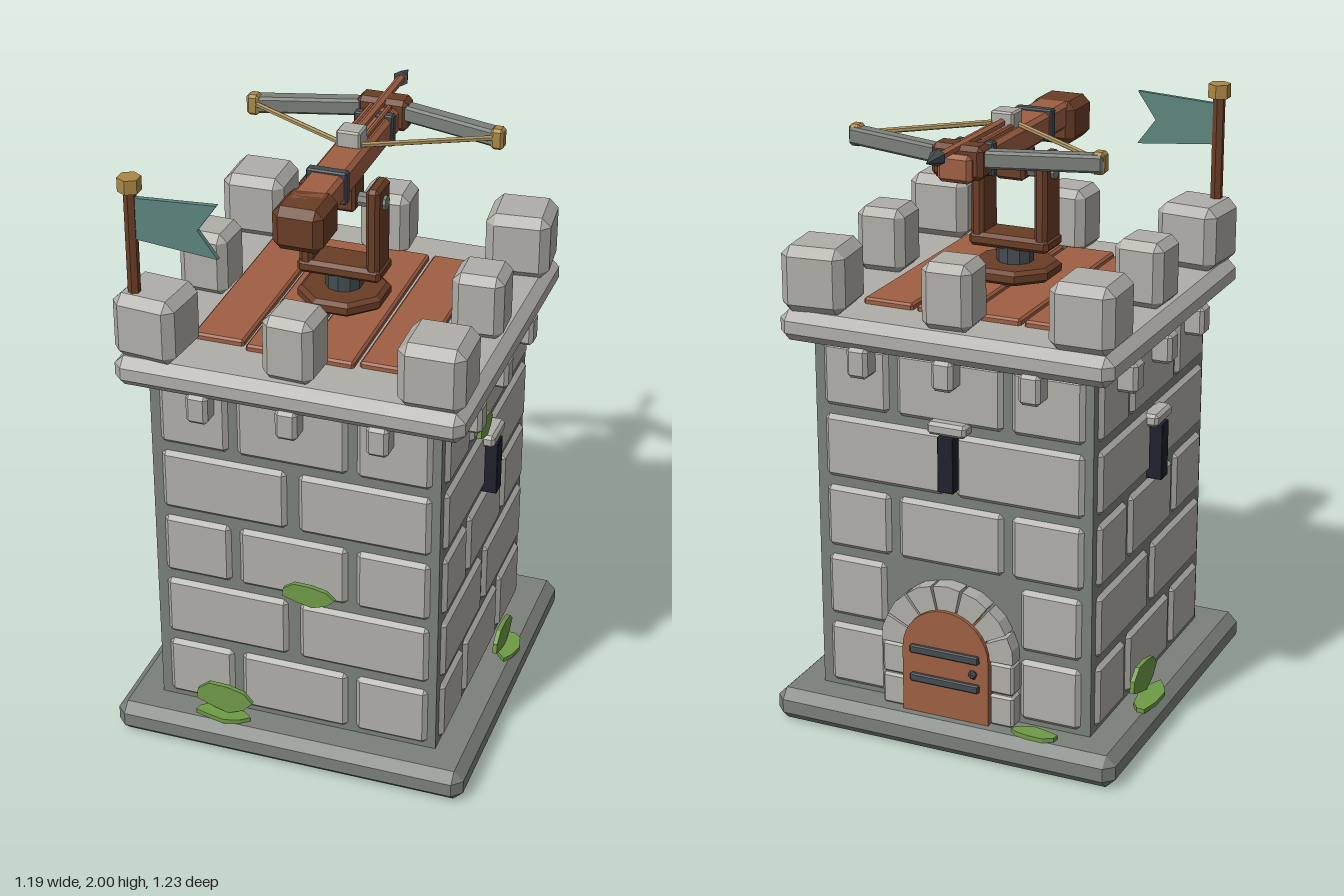
import * as THREE from 'three';
import { ConvexGeometry } from 'three/addons/geometries/ConvexGeometry.js';

const mat = (name, color, flat = true) => {
  const m = new THREE.MeshStandardMaterial({ color, flatShading: flat });
  m.name = name;
  return m;
};
const M = {
  stone: mat('pale stone', 0xb0aea7),
  mortar: mat('grey mortar', 0x7b807a),
  wood: mat('red wood', 0x9f5f43),
  dark: mat('dark wood', 0x6a3e27),
  iron: mat('iron', 0x444c51),
  slit: mat('slit black', 0x20212d),
  moss: mat('moss green', 0x6f9a47),
  flag: mat('flag teal', 0x5c857d),
  brass: mat('brass', 0xa98845),
  rope: mat('rope', 0xae9560),
};

// Box with every edge chamfered by b
function chamferBox(w, h, d, b) {
  const pts = [];
  for (const sx of [-1, 1]) for (const sy of [-1, 1]) for (const sz of [-1, 1]) {
    for (let k = 0; k < 3; k++) {
      const p = [w / 2, h / 2, d / 2].map((v, i) => (i === k ? v : v - b));
      pts.push(new THREE.Vector3(sx * p[0], sy * p[1], sz * p[2]));
    }
  }
  return new ConvexGeometry(pts);
}

function add(parent, name, geo, material, x = 0, y = 0, z = 0) {
  const m = new THREE.Mesh(geo, material);
  m.name = name;
  m.position.set(x, y, z);
  parent.add(m);
  return m;
}

// Chamfered box given by its ranges
function block(parent, name, material, [x0, x1], [y0, y1], [z0, z1], b = 0.01) {
  return add(parent, name, chamferBox(x1 - x0, y1 - y0, z1 - z0, b), material,
    (x0 + x1) / 2, (y0 + y1) / 2, (z0 + z1) / 2);
}

// Rod between two points
function rod(parent, name, material, a, b, r, sides = 6) {
  const A = new THREE.Vector3(...a), B = new THREE.Vector3(...b);
  const dir = B.clone().sub(A);
  const m = add(parent, name, new THREE.CylinderGeometry(r, r, dir.length(), sides), material);
  m.position.copy(A).add(B).multiplyScalar(0.5);
  m.quaternion.setFromUnitVectors(new THREE.Vector3(0, 1, 0), dir.normalize());
  return m;
}

// Flat plate with an outline in x and y
function plate(points, depth) {
  const s = new THREE.Shape(points.map((p) => new THREE.Vector2(p[0], p[1])));
  return new THREE.ExtrudeGeometry(s, { depth, bevelEnabled: false, curveSegments: 8 });
}

// Irregular leaf-like moss disc
function mossGeometry(w, h) {
  const radii = [1, 0.92, 0.85, 1, 0.95, 1, 0.8, 0.98, 0.9];
  const g = plate(radii.map((r, i) => {
    const a = (i / radii.length) * Math.PI * 2;
    return [Math.cos(a) * r * w / 2, Math.sin(a) * r * h / 2];
  }), 0.015);
  return g.translate(0, 0, -0.0075);
}

const THREE_STONES = [[-0.44, -0.215], [-0.185, 0.175], [0.205, 0.445]];
const TWO_STONES = [[-0.44, -0.025], [0.015, 0.445]];
const DOOR_STONES = [[-0.44, -0.235], [0.235, 0.44]];

// One wall of the tower, built facing +z
function wall(parent, name, angle, hasDoor) {
  const g = new THREE.Group();
  g.name = name;
  g.rotation.y = angle;
  parent.add(g);
  for (let r = 0; r < 5; r++) {
    const y = 0.127 + r * 0.2415;
    const row = hasDoor && r < 2 ? DOOR_STONES : r % 2 ? TWO_STONES : THREE_STONES;
    for (const span of row) block(g, 'wallStone', M.stone, span, [y, y + 0.21], [0.44, 0.487], 0.014);
  }
  for (const x of [-0.29, 0, 0.29]) {
    block(g, 'corbel', M.stone, [x - 0.036, x + 0.036], [1.22, 1.32], [0.46, 0.55], 0.012);
  }
  return g;
}

function arrowSlit(g, y0, y1) {
  block(g, 'arrowSlit', M.slit, [-0.027, 0.027], [y0, y1], [0.46, 0.525], 0.002);
  block(g, 'slitLintel', M.stone, [-0.066, 0.066], [y1, y1 + 0.042], [0.46, 0.522], 0.01);
}

// Arched door with voussoirs and iron straps
function door(g) {
  const s = new THREE.Shape();
  s.moveTo(-0.15, 0.11);
  s.lineTo(0.15, 0.11);
  s.lineTo(0.15, 0.33);
  s.absarc(0, 0.33, 0.15, 0, Math.PI, false);
  s.closePath();
  add(g, 'doorPanel', new THREE.ExtrudeGeometry(s, { depth: 0.075, bevelEnabled: false, curveSegments: 8 }),
    M.wood, 0, 0, 0.465);
  const n = 7, gap = 0.02;
  for (let i = 0; i < n; i++) {
    const a0 = (i / n) * Math.PI + gap, a1 = ((i + 1) / n) * Math.PI - gap;
    const pt = (r, a) => [Math.cos(a) * r, 0.33 + Math.sin(a) * r];
    add(g, 'archStone', plate([pt(0.148, a0), pt(0.23, a0), pt(0.233, (a0 + a1) / 2), pt(0.23, a1), pt(0.148, a1)], 0.06),
      M.stone, 0, 0, 0.467);
  }
  for (const sx of [-1, 1]) for (const y of [0.11, 0.222]) {
    block(g, 'jambStone', M.stone, [sx * 0.189 - 0.041, sx * 0.189 + 0.041], [y, y + 0.108], [0.46, 0.527], 0.008);
  }
  for (const y of [0.235, 0.335]) {
    block(g, 'doorStrap', M.iron, [-0.12, 0.12], [y - 0.014, y + 0.014], [0.53, 0.553], 0.004);
  }
  add(g, 'doorKnob', new THREE.IcosahedronGeometry(0.016, 0), M.iron, 0.1, 0.285, 0.548);
}

function moss(parent) {
  const wallMoss = [ // wall angle, position along it, height, size
    [0, -0.235, 0.178, 0.2, 0.115], [0, 0.06, 0.652, 0.18, 0.085],
    [Math.PI / 2, 0.12, 0.172, 0.2, 0.105], [Math.PI / 2, -0.195, 1.18, 0.13, 0.085],
    [-Math.PI / 2, -0.155, 0.19, 0.21, 0.12],
  ];
  for (const [angle, x, y, w, h] of wallMoss) {
    const g = new THREE.Group();
    g.name = 'wallMoss';
    g.rotation.y = angle;
    parent.add(g);
    add(g, 'mossPatch', mossGeometry(w, h), M.moss, x, y, 0.525);
  }
  const groundMoss = [[-0.235, 0.535, 0.19, 0.08], [0.545, -0.13, 0.08, 0.17], [-0.55, -0.155, 0.08, 0.24], [-0.31, -0.54, 0.16, 0.07]];
  for (const [x, z, w, d] of groundMoss) {
    add(parent, 'groundMoss', mossGeometry(w, d), M.moss, x, 0.117, z).rotation.x = -Math.PI / 2;
  }
}

function buildTower() {
  const t = new THREE.Group();
  t.name = 'tower';
  t.position.z = 0.017;
  block(t, 'plinth', M.mortar, [-0.596, 0.596], [0, 0.11], [-0.596, 0.596], 0.032);
  add(t, 'wallCore', new THREE.BoxGeometry(0.946, 1.24, 0.946), M.mortar, 0, 0.72, 0);
  block(t, 'cornice', M.stone, [-0.56, 0.56], [1.31, 1.41], [-0.56, 0.56], 0.03);

  wall(t, 'frontWall', 0, false);
  arrowSlit(wall(t, 'leftWall', Math.PI / 2, false), 0.825, 1.015);
  arrowSlit(wall(t, 'rightWall', -Math.PI / 2, false), 0.825, 1.015);
  const back = wall(t, 'backWall', Math.PI, true);
  arrowSlit(back, 0.88, 1.065);
  door(back);

  // Battlements, each turned very slightly
  for (let i = -1; i <= 1; i++) for (let j = -1; j <= 1; j++) {
    if (!i && !j) continue;
    const corner = i && j, s = corner ? 0.21 : 0.165;
    const m = add(t, corner ? 'cornerMerlon' : 'merlon', chamferBox(s, 0.215, s, corner ? 0.03 : 0.026),
      M.stone, i * 0.45, 1.513, j * 0.45);
    m.rotation.y = 0.05 * (i - j || 0.4);
  }
  // Deck planks
  [[-0.37, -0.203, 0.36], [-0.19, -0.02, 0.38], [-0.007, 0.16, 0.38], [0.174, 0.344, 0.365]].forEach(([a, b, z]) =>
    block(t, 'deckPlank', M.wood, [a, b], [1.395, 1.43], [-0.385, z], 0.007));
  moss(t);
  return t;
}

function buildFlag() {
  const g = new THREE.Group();
  g.name = 'flag';
  rod(g, 'flagPole', M.dark, [-0.497, 1.58, 0.513], [-0.497, 1.97, 0.513], 0.02);
  rod(g, 'poleCap', M.brass, [-0.497, 1.955, 0.513], [-0.497, 2, 0.513], 0.037);
  add(g, 'pennant', plate([[-0.485, 1.80], [-0.22, 1.775], [-0.283, 1.86], [-0.22, 1.95], [-0.485, 1.935]], 0.016),
    M.flag, 0, 0, 0.504);
  return g;
}

function buildBallista() {
  const g = new THREE.Group();
  g.name = 'ballista';
  // Turntable and yoke
  const disc = new THREE.LatheGeometry([[0, 1.425], [0.1, 1.425], [0.1, 1.44], [0.133, 1.44], [0.148, 1.452],
    [0.148, 1.475], [0.133, 1.487], [0, 1.487]].map((p) => new THREE.Vector2(...p)), 8);
  add(g, 'turntable', disc, M.dark, 0, 0, 0.02).rotation.y = Math.PI / 8;
  rod(g, 'swivel', M.iron, [0, 1.48, 0.02], [0, 1.545, 0.02], 0.06, 10);
  block(g, 'yokeBase', M.dark, [-0.137, 0.137], [1.535, 1.58], [-0.045, 0.085], 0.012);
  for (const s of [-1, 1]) {
    block(g, 'yokeArm', M.dark, [s * 0.109 - 0.022, s * 0.109 + 0.022], [1.54, 1.85], [-0.04, 0.08], 0.012);
  }
  rod(g, 'axle', M.mortar, [-0.14, 1.79, 0.02], [0.14, 1.79, 0.02], 0.024, 8);
  block(g, 'beamBracket', M.dark, [-0.05, 0.05], [1.76, 1.86], [-0.03, 0.07], 0.01);

  // Stock
  block(g, 'stock', M.wood, [-0.057, 0.057], [1.852, 1.94], [-0.435, 0.4], 0.013);
  block(g, 'stockEnd', M.dark, [-0.08, 0.08], [1.80, 1.94], [0.286, 0.458], 0.025);
  block(g, 'bowMount', M.dark, [-0.085, 0.085], [1.86, 1.965], [-0.415, -0.335], 0.015);
  for (const z of [0.171, -0.272]) {
    block(g, 'ironBand', M.iron, [-0.065, 0.065], [1.844, 1.949], [z - 0.017, z + 0.017], 0.005);
  }
  for (const s of [-1, 1]) {
    block(g, 'boltRail', M.wood, [s * 0.03 - 0.008, s * 0.03 + 0.008], [1.93, 1.955], [-0.33, -0.02], 0.004);
    // Bow limb, tip and string
    const limb = add(g, 'bowLimb', chamferBox(0.38, 0.055, 0.052, 0.008), M.mortar, s * 0.235, 1.922, -0.323);
    limb.rotation.y = -s * 0.275;
    block(g, 'limbTip', M.brass, [s * 0.405 - 0.021, s * 0.405 + 0.021], [1.888, 1.957], [-0.293, -0.247], 0.009);
    rod(g, 'bowString', M.rope, [s * 0.4, 1.925, -0.262], [s * 0.03, 1.945, -0.03], 0.009);
  }

  // Loaded bolt
  block(g, 'nut', M.stone, [-0.039, 0.039], [1.935, 1.992], [-0.085, -0.01], 0.006);
  rod(g, 'boltShaft', M.wood, [0, 1.957, -0.02], [0, 1.957, -0.54], 0.014);
  add(g, 'boltHead', new THREE.ConeGeometry(0.027, 0.08, 6), M.iron, 0, 1.957, -0.573).rotation.x = -Math.PI / 2;
  return g;
}

export function createModel() {
  const model = new THREE.Group();
  model.name = 'ballistaTower';
  model.add(buildTower(), buildFlag(), buildBallista());
  return model;
}
